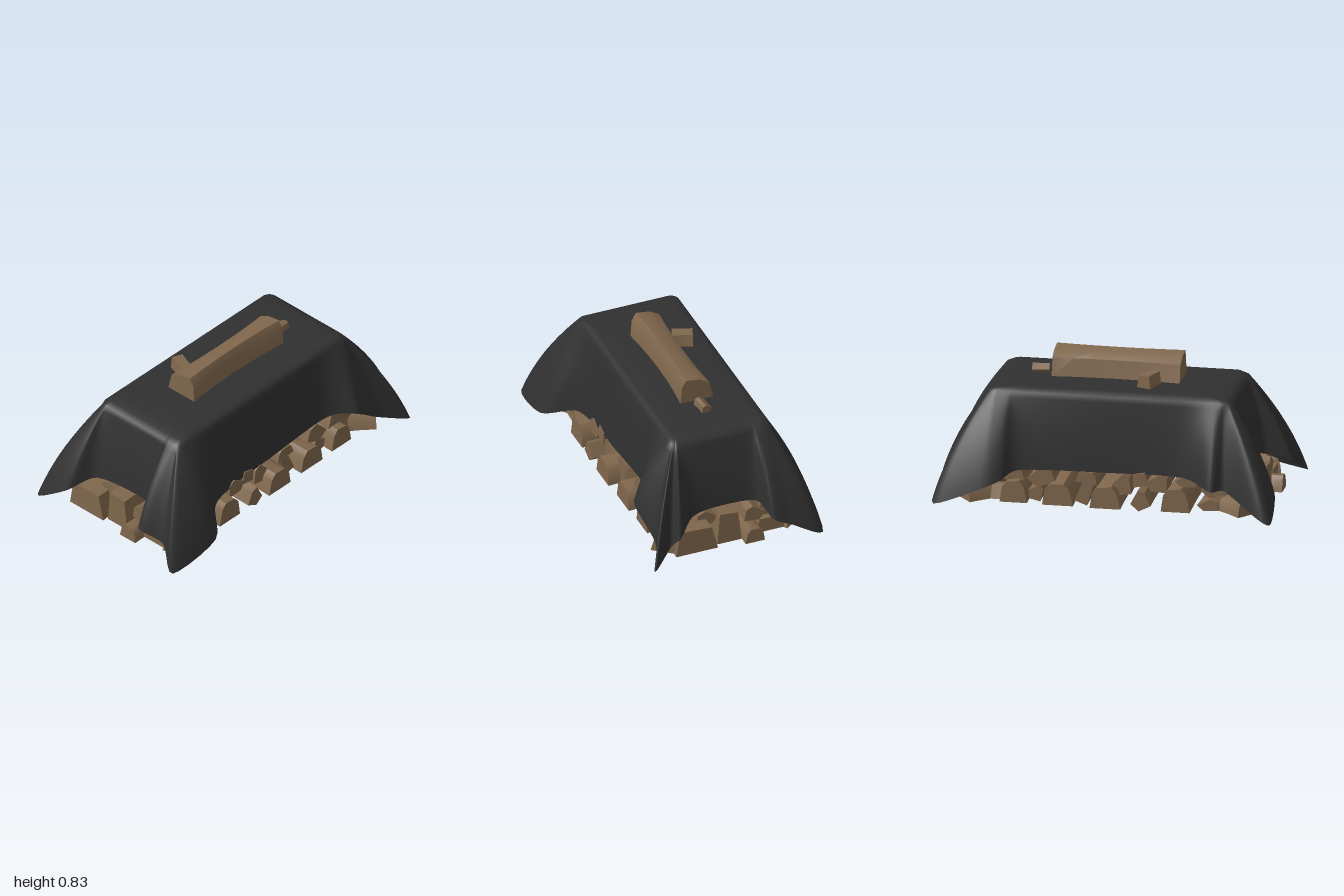
import * as THREE from 'three';
import { toCreasedNormals } from 'three/addons/utils/BufferGeometryUtils.js';

const wood = new THREE.MeshStandardMaterial({ color: 0x80674d });
wood.name = 'wood';
const cloth = new THREE.MeshStandardMaterial({ color: 0x303030, side: THREE.DoubleSide });
cloth.name = 'cloth';

// Split-log cross-sections in a unit box, bottom at y = 0
const ARCH = [[-.5, 0], [.5, 0], [.42, .7], [.24, .95], [-.2, 1], [-.38, .72]];
const WEDGE = [[-.5, .1], [.2, 0], [.5, .45], [-.1, 1], [-.4, .8]];
const BLOCK = [[-.5, 0], [.5, 0], [.36, .95], [-.4, 1]];
const BIG = [[-.5, 0], [.45, 0], [.33, .7], [.05, .92], [-.34, 1], [-.46, .7]];

// Log along local z, slightly waisted in the middle
function log(name, pts, w, h, len, x, y, z, yaw = 0, roll = 0, waist = .12) {
  const shape = new THREE.Shape(pts.map(p => new THREE.Vector2(p[0] * w, (p[1] - .5) * h)));
  const geo = new THREE.ExtrudeGeometry(shape, { depth: len, steps: 6, bevelEnabled: false });
  geo.translate(0, 0, -len / 2);
  const p = geo.attributes.position;
  for (let i = 0; i < p.count; i++) {
    const k = p.getZ(i) / (len / 2);
    p.setX(i, p.getX(i) * (1 - waist * (1 - k * k)));
  }
  const mesh = new THREE.Mesh(toCreasedNormals(geo, .75), wood);
  mesh.name = name;
  mesh.position.set(x, y + h / 2, z);
  mesh.rotation.set(0, yaw, roll);
  return mesh;
}

// Hem of the cloth (x, y, z), walking round the pile from the front middle
const HEM = [
  [0, .20, .37], [.40, .23, .37], [.52, .25, .42], [.62, .23, .50], [.82, .07, .45],
  [1, .005, .53], [.91, .09, .39], [.98, .18, .36], [.84, .21, .23], [.81, .22, .08],
  [.82, .21, -.17], [.97, .16, -.22], [.98, .10, -.33], [.99, .005, -.52], [.72, .11, -.54],
  [.60, .16, -.50], [.50, .20, -.40], [0, .20, -.36], [-.44, .20, -.37], [-.62, .16, -.49],
  [-.70, .15, -.43], [-.92, .03, -.55], [-.99, .005, -.53], [-.97, .14, -.33],
  [-.82, .20, -.23], [-.80, .22, .08], [-.82, .19, .20], [-.97, .16, .23], [-.92, .10, .38],
  [-1, .005, .53], [-.66, .07, .55], [-.50, .15, .40], [-.30, .17, .365],
];

function tarp() {
  const hem = new THREE.CatmullRomCurve3(HEM.map(p => new THREE.Vector3(...p)), true, 'catmullrom', .4);
  const n = HEM.length * 5, drops = 14, pos = [0, .667, 0], idx = [];
  const rings = [[.5, .667], [.85, .664], [.95, .658]];
  const rows = rings.length + drops;
  for (let j = 0; j <= rows; j++) for (let i = 0; i < n; i++) {
    const e = hem.getPoint(i / n);
    // Shoulder: nearest point on a rounded rectangle
    const s = new THREE.Vector3(THREE.MathUtils.clamp(e.x, -.66, .66), e.y,
      THREE.MathUtils.clamp(e.z, -.26, .26));
    s.add(e.clone().sub(s).setLength(.05)).setY(.64);
    if (j < rings.length) {
      const [k, y] = rings[j];
      pos.push(s.x * k, y, s.z * k);
    } else {
      // Falls from the shoulder, belling outward a little before the hem
      const t = (j - rings.length) / drops;
      const out = t + .42 * t * (1 - t);
      pos.push(s.x + (e.x - s.x) * out, s.y + (e.y - s.y) * t, s.z + (e.z - s.z) * out);
    }
  }
  for (let i = 0; i < n; i++) idx.push(0, 1 + i, 1 + (i + 1) % n);
  for (let j = 0; j < rows; j++) for (let i = 0; i < n; i++) {
    const a = 1 + j * n + i, b = 1 + j * n + (i + 1) % n;
    idx.push(a, a + n, b, b, a + n, b + n);
  }
  const geo = new THREE.BufferGeometry();
  geo.setAttribute('position', new THREE.Float32BufferAttribute(pos, 3));
  geo.setIndex(idx);
  geo.computeVertexNormals();
  const mesh = new THREE.Mesh(geo, cloth);
  mesh.name = 'tarpaulin';
  return mesh;
}

export function createModel() {
  const model = new THREE.Group();
  model.name = 'coveredWoodpile';
  model.add(tarp());
  const Q = Math.PI / 2;

  // Bottom layer, running front to back: section, x, width, height, length, roll
  const base = [
    [WEDGE, -.59, .13, .07, .74, 0], [ARCH, -.41, .17, .14, .86, 0],
    [WEDGE, -.20, .11, .12, .88, -.3], [ARCH, 0, .18, .13, .88, 0],
    [BLOCK, .13, .08, .15, .74, .35], [ARCH, .28, .18, .13, .86, 0],
    [WEDGE, .42, .09, .10, .72, .4], [ARCH, .54, .16, .13, .84, 0],
  ];
  for (const [s, x, w, h, l, roll] of base)
    model.add(log('bottomLog', s, w, h, l, x, .008, 0, 0, roll));

  // Second layer, resting in the gaps: section, x, width, height, y
  const upper = [
    [WEDGE, -.62, .15, .11, .09], [WEDGE, -.46, .13, .08, .14], [WEDGE, -.29, .13, .11, .1],
    [BLOCK, -.19, .09, .08, .13], [WEDGE, -.08, .12, .13, .07], [ARCH, .12, .13, .07, .13],
    [WEDGE, .39, .16, .12, .10], [ARCH, .58, .19, .11, .13],
  ];
  upper.forEach(([s, x, w, h, y], i) =>
    model.add(log('upperLog', s, w, h, .74, x, y, 0, 0, (i % 3 - 1) * .15)));

  // Short logs poking out at the two ends: section, z, width, height, y, reach
  const ends = [
    [BLOCK, .23, .26, .16, .008, .91], [BLOCK, .015, .15, .20, .008, .88],
    [ARCH, -.12, .12, .09, .008, .94], [BLOCK, -.27, .22, .09, .008, .86],
    [WEDGE, -.15, .13, .10, .10, .86], [WEDGE, -.27, .17, .10, .09, .82],
    [WEDGE, .13, .14, .09, .12, .82],
  ];
  for (const side of [1, -1]) for (const [s, z, w, h, y, reach] of ends)
    model.add(log('endLog', s, w, h, reach - .6, side * (reach + .6) / 2, y, side * z, side * Q, 0, .05));

  // Outer logs near the corners
  for (const x of [-.74, .74]) for (const z of [-.33, .33])
    model.add(log('cornerLog', ARCH, .16, .10, .24, x, .008, z, Math.sign(x * z) * .9));

  // Weights on top of the cloth
  model.add(log('topLog', BIG, .215, .15, .75, .005, .677, .005, Q, 0, .2));
  model.add(log('smallTopLog', BLOCK, .09, .075, .12, -.20, .67, -.14, -.35));
  model.add(log('chip', WEDGE, .07, .05, .10, .46, .67, .005, Q + .1));
  return model;
}
